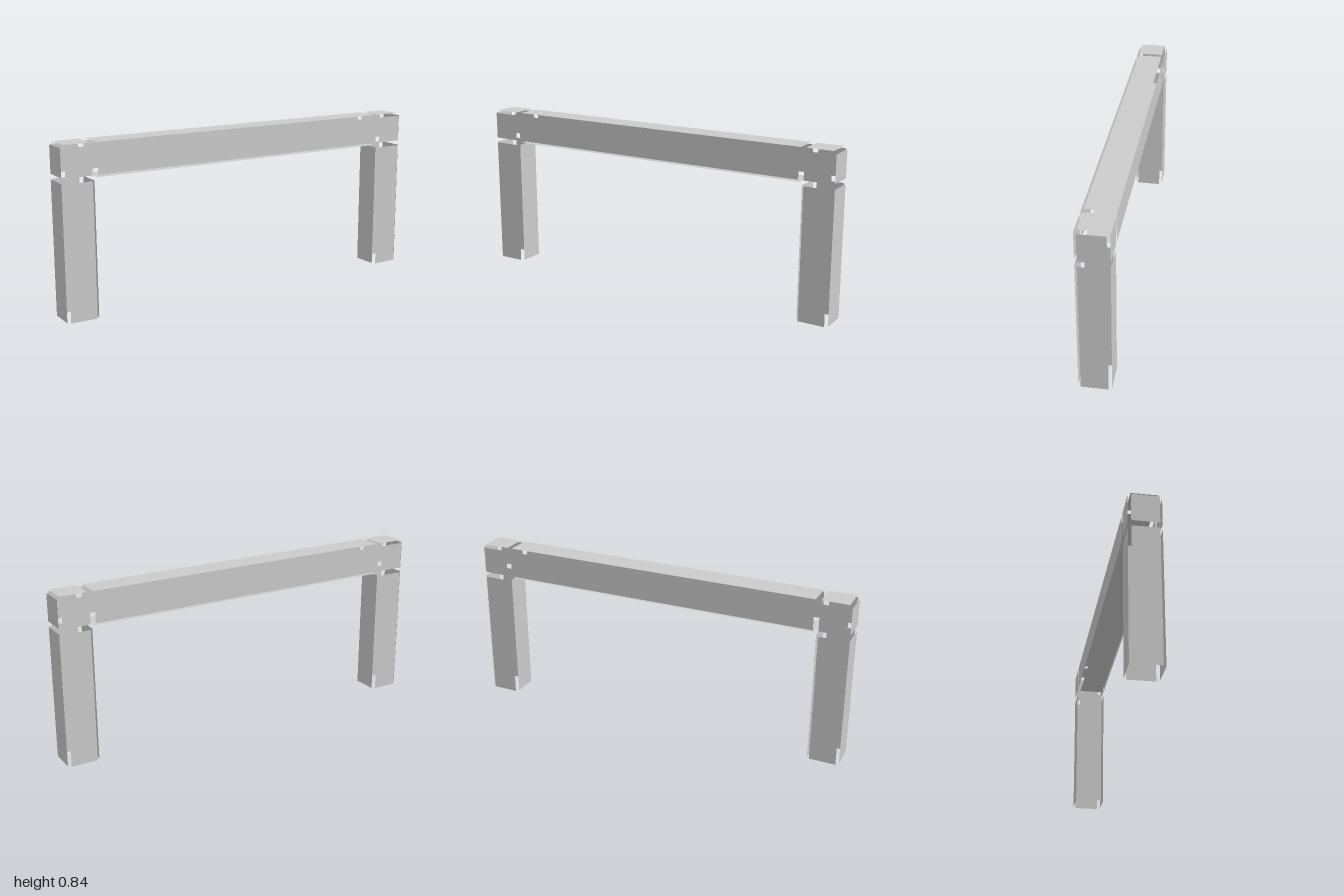
import * as THREE from 'three';

const material = new THREE.MeshStandardMaterial({ color: 0xcccccc, side: THREE.DoubleSide, flatShading: true });
const GAP = 0.0135; // open seam left between a panel and the edge of its box

// Thin panels on the named sides of a box; each stops short of the box edges.
function panelBox(name, [x0, x1], [y0, y1], [z0, z1], sides, openFoot = false) {
  const group = new THREE.Group();
  group.name = name;
  const foot = openFoot ? y0 : y0 + GAP;
  const w = x1 - x0 - 2 * GAP, h = y1 - GAP - foot, d = z1 - z0 - 2 * GAP;
  const cx = (x0 + x1) / 2, cy = (foot + y1 - GAP) / 2, cz = (z0 + z1) / 2;
  const specs = {
    front: [w, h, [cx, cy, z1], [0, 0, 0]],
    back: [w, h, [cx, cy, z0], [0, Math.PI, 0]],
    left: [d, h, [x1, cy, cz], [0, Math.PI / 2, 0]],
    right: [d, h, [x0, cy, cz], [0, -Math.PI / 2, 0]],
    top: [w, d, [cx, y1, cz], [-Math.PI / 2, 0, 0]],
    bottom: [w, d, [cx, y0, cz], [Math.PI / 2, 0, 0]],
  };
  for (const side of sides) {
    const [a, b, position, rotation] = specs[side];
    const panel = new THREE.Mesh(new THREE.PlaneGeometry(a, b), material);
    panel.name = `${side}Panel`;
    panel.position.set(...position);
    panel.rotation.set(...rotation);
    group.add(panel);
  }
  return group;
}

export function createModel() {
  const model = new THREE.Group();
  model.name = 'postAndBeamFrame';
  const depth = [-0.078, 0.078];
  const legTop = 0.678, top = 0.843, inner = 0.838, outer = 1;

  // Crossbeam, open at both ends
  model.add(panelBox('crossbeam', [-inner, inner], [legTop, top], depth, ['front', 'back', 'top', 'bottom']));

  // Posts with open feet, and the corner blocks joining them to the beam
  for (const [label, span] of [['left', [inner, outer]], ['right', [-outer, -inner]]]) {
    model.add(panelBox(`${label}Post`, span, [0, legTop], depth, ['front', 'back', 'left', 'right'], true));
    model.add(panelBox(`${label}Corner`, span, [legTop, top], depth, ['front', 'back', 'top', label]));
  }
  return model;
}
